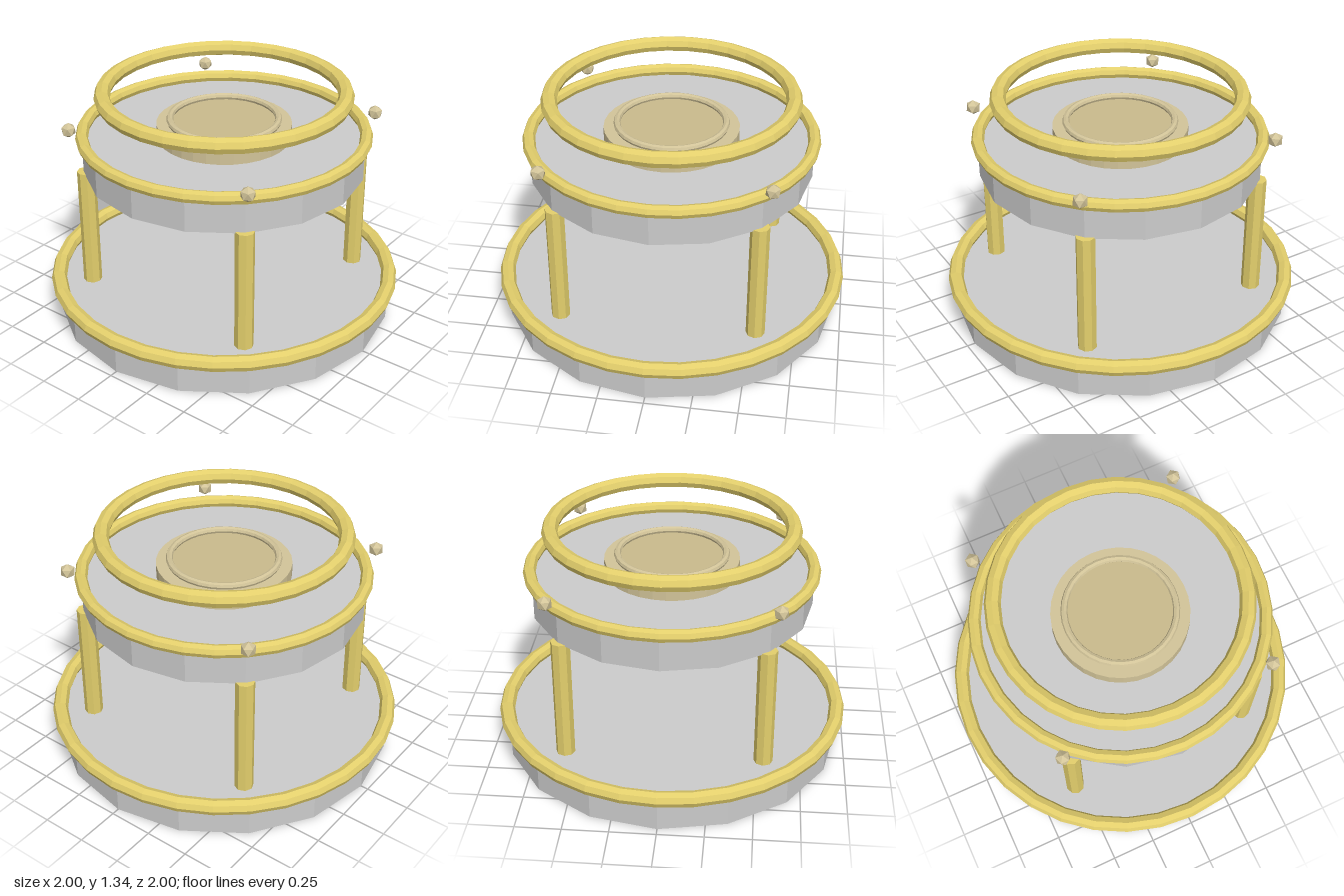
import * as THREE from 'three';

const mat = (color) => new THREE.MeshStandardMaterial({ color, flatShading: true });

export function createModel() {
  const model = new THREE.Group();
  const grey = mat(0xcccccc);
  const gold = mat(0xe3cf6c);
  const tan = mat(0xd2c499);
  const darkTan = mat(0xcabb8c);

  const add = (name, geometry, material, x = 0, y = 0, z = 0) => {
    const mesh = new THREE.Mesh(geometry, material);
    mesh.name = name;
    mesh.position.set(x, y, z);
    model.add(mesh);
    return mesh;
  };

  // Upright cylinder between two heights
  const drum = (name, radius, y0, y1, sides, material, x = 0, z = 0) =>
    add(name, new THREE.CylinderGeometry(radius, radius, y1 - y0, sides), material, x, (y0 + y1) / 2, z);

  // Horizontal faceted ring
  const ring = (name, radius, tube, y, material) =>
    add(name, new THREE.TorusGeometry(radius, tube, 8, 32).rotateX(Math.PI / 2), material, 0, y, 0);

  // Base and upper platform, each with a gold rim
  drum('base', 0.957, 0, 0.174, 16, grey);
  ring('baseRim', 0.957, 0.043, 0.197, gold);
  drum('upperPlatform', 0.78, 0.863, 1.043, 16, grey);
  ring('upperRim', 0.78, 0.035, 1.068, gold);

  // Central dish
  drum('dishPlate', 0.372, 1.04, 1.12, 32, tan);
  drum('dishCentre', 0.29, 1.11, 1.127, 32, darkTan);
  ring('dishRim', 0.298, 0.019, 1.142, tan);

  // Floating ring above the platform
  ring('topRing', 0.66, 0.044, 1.295, gold);

  // Four pillars and four small gems, at the corners; gems stand on a point
  const gem = new THREE.IcosahedronGeometry(0.0425, 0).rotateZ(-Math.atan(2 / (1 + Math.sqrt(5))));
  for (const sx of [-1, 1]) {
    for (const sz of [-1, 1]) {
      drum('pillar', 0.052, 0.174, 0.87, 8, gold, sx * 0.541, sz * 0.541);
      add('gem', gem, tan, sx * 0.599, 1.123, sz * 0.599);
    }
  }

  return model;
}
